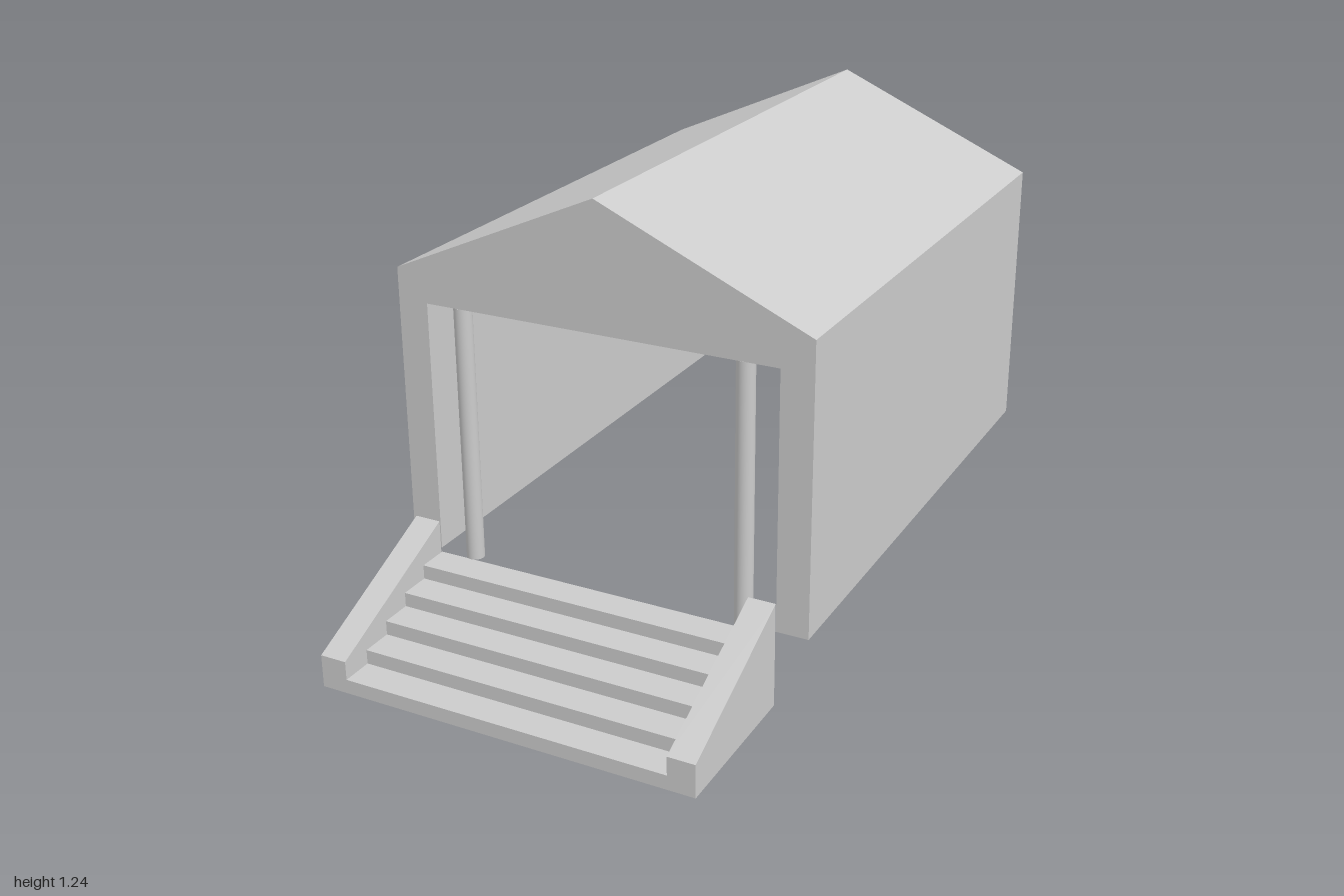
import * as THREE from 'three';

const material = new THREE.MeshStandardMaterial({ color: 0xcccccc, flatShading: true });
const smooth = new THREE.MeshStandardMaterial({ color: 0xcccccc });

// Extrude a closed outline along +z
function extrude(points, depth) {
  const shape = new THREE.Shape(points.map(([x, y]) => new THREE.Vector2(x, y)));
  return new THREE.ExtrudeGeometry(shape, { depth, bevelEnabled: false });
}

export function createModel() {
  const model = new THREE.Group();
  model.name = 'porchWithSteps';
  const add = (name, geometry, mat = material, parent = model) => {
    const mesh = new THREE.Mesh(geometry, mat);
    mesh.name = name;
    parent.add(mesh);
    return mesh;
  };

  // Gabled shell, open at both ends and underneath
  const shell = extrude([
    [-0.575, 0.208], [-0.49, 0.208], [-0.49, 0.9], [0.488, 0.9], [0.488, 0.208],
    [0.575, 0.208], [0.575, 0.985], [0, 1.24], [-0.575, 0.985],
  ], 1.567);
  add('gabledShell', shell.translate(0, 0, -1));

  // Round columns just inside the front opening
  for (const [name, x] of [['rightColumn', -0.398], ['leftColumn', 0.39]]) {
    add(name, new THREE.CylinderGeometry(0.024, 0.024, 0.705, 32), smooth).position.set(x, 0.5475, 0.544);
  }

  const stairs = new THREE.Group();
  stairs.name = 'stairs';
  model.add(stairs);

  // Sloped side walls: outline in (z, y), turned to extrude along x
  const wallOutline = [[-1, 0], [-0.57, 0], [-0.57, 0.287], [-1, 0.09]];
  for (const [name, x, width] of [['rightStairWall', -0.565, 0.074], ['leftStairWall', 0.414, 0.074]]) {
    const wall = extrude(wallOutline, width).rotateY(Math.PI / 2);
    add(name, wall, material, stairs).position.x = x;
  }

  // Open-bottomed flight of five stacked treads
  const rise = 0.039, run = 0.0868;
  for (let i = 0; i < 5; i++) {
    const tread = add('step' + (i + 1), new THREE.BoxGeometry(0.905, rise, run), material, stairs);
    tread.position.set(-0.0385, rise * (i + 0.5), 1 - run * (i + 0.5));
  }
  return model;
}
